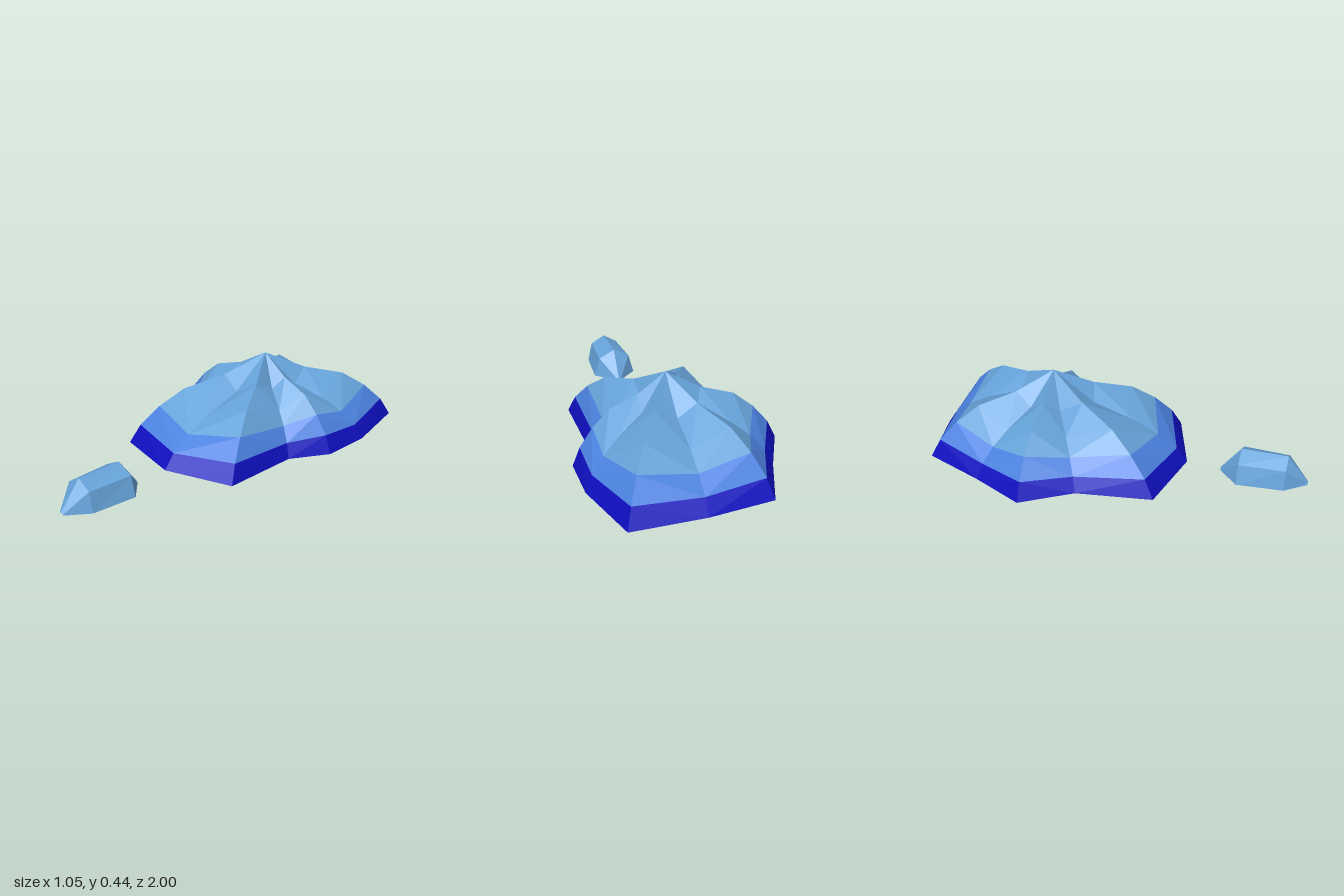
import * as THREE from 'three';

const blue = (name, color) => {
  const m = new THREE.MeshStandardMaterial({ color });
  m.name = name;
  return m;
};

// Flat-shaded mesh from a list of corner points, three per triangle
function facetMesh(name, points, material) {
  const g = new THREE.BufferGeometry();
  g.setAttribute('position', new THREE.Float32BufferAttribute(points.flat(), 3));
  g.computeVertexNormals();
  const mesh = new THREE.Mesh(g, material);
  mesh.name = name;
  return mesh;
}

export function createModel() {
  const deep = blue('deepBlue', 0x0f0fc0);
  const mid = blue('midBlue', 0x4c82e0);
  const light = blue('lightBlue', 0x67a3da);

  const model = new THREE.Group();
  model.name = 'rockyMound';

  // Mound footprint [x, z]: ridges alternate with valleys
  const outline = [
    [-0.526, -0.36], [-0.4, -0.63], [-0.278, -0.94], [0.06, -0.99],
    [0.43, -1.0], [0.525, -0.625], [0.525, -0.36], [0.41, -0.165],
    [0.41, 0.25], [0.06, 0.367], [-0.31, 0.28], [-0.37, -0.11],
  ];
  const cx = 0.06, cz = -0.36, n = outline.length;
  // Rings: fraction of the footprint, ridge height, valley height
  const levels = [
    [1, 0, 0], [0.92, 0.094, 0.075], [0.78, 0.19, 0.145],
    [0.6, 0.275, 0.205], [0.3, 0.333, 0.275], [0, 0.435, 0.435],
  ];
  const at = (i, j) => {
    const [f, ridge, valley] = levels[i];
    const [x, z] = outline[j % n];
    return [cx + (x - cx) * f, j % 2 ? valley : ridge, cz + (z - cz) * f];
  };
  const band = (from, to) => {
    const p = [];
    for (let i = from; i < to; i++) {
      for (let j = 0; j < n; j++) {
        const a = at(i, j), b = at(i, j + 1), c = at(i + 1, j), d = at(i + 1, j + 1);
        if (i === levels.length - 2) p.push(b, a, c);
        else if (j % 2) p.push(b, a, d, a, c, d);
        else p.push(b, a, c, b, c, d);
      }
    }
    return p;
  };
  const underside = [];
  for (let j = 0; j < n; j++) underside.push([cx, 0, cz], at(0, j), at(0, j + 1));

  const mound = new THREE.Group();
  mound.name = 'mound';
  mound.add(
    facetMesh('moundFoot', band(0, 1), deep),
    facetMesh('moundUnderside', underside, deep),
    facetMesh('moundSlope', band(1, 2), mid),
    facetMesh('moundPeak', band(2, 5), light),
  );
  model.add(mound);

  // Small stone in front: z, base half-width, shoulder half-width, shoulder height, top
  const sections = [
    [0.55, 0.014, 0.01, 0.007, 0.012],
    [0.65, 0.116, 0.086, 0.103, 0.147],
    [0.89, 0.096, 0.074, 0.103, 0.147],
    [1.0, 0.014, 0.01, 0.007, 0.012],
  ].map(([z, w, s, h, t]) =>
    [[w, 0], [s, h], [0, t], [-s, h], [-w, 0]].map(([x, y]) => [0.048 + x, y, z]));
  const stone = [];
  for (let i = 0; i < sections.length - 1; i++) {
    for (let j = 0; j < 5; j++) {
      const A = sections[i], B = sections[i + 1], k = (j + 1) % 5;
      stone.push(B[j], A[j], A[k], B[j], A[k], B[k]);
    }
  }
  model.add(facetMesh('smallStone', stone, light));

  return model;
}
